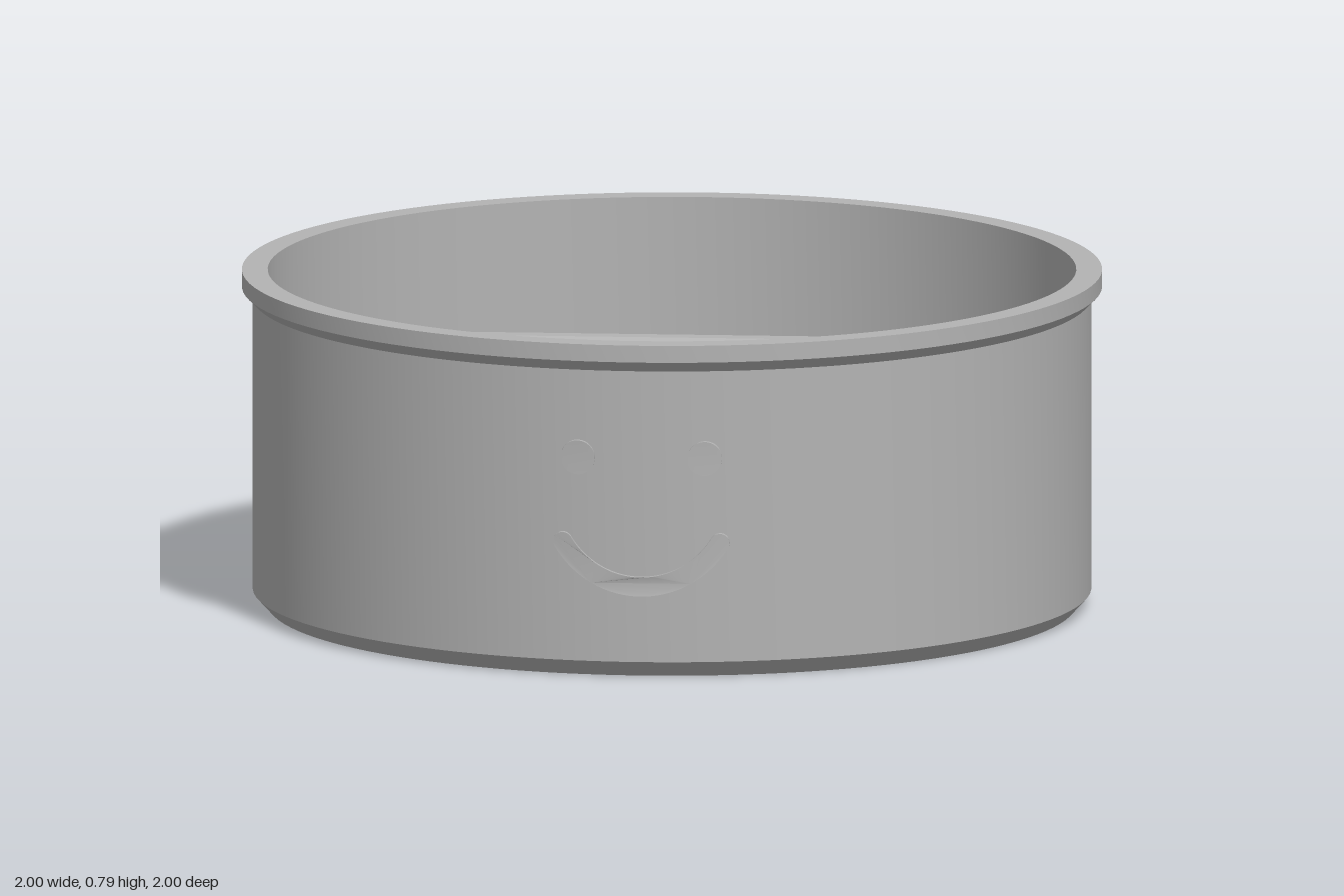
import * as THREE from 'three';
import { toCreasedNormals } from 'three/addons/utils/BufferGeometryUtils.js';

const OUTER = 0.975; // wall radius
const INNER = 0.94;
const FLOOR = 0.07;

export function createModel() {
  const model = new THREE.Group();
  model.name = 'dividedBowl';
  const grey = new THREE.MeshStandardMaterial({ color: 0xb3b3b3 });
  grey.name = 'plain grey';

  const add = (name, geometry) => {
    const mesh = new THREE.Mesh(toCreasedNormals(geometry, 0.4), grey);
    mesh.name = name;
    model.add(mesh);
    return mesh;
  };

  // Bowl: chamfered base, straight wall, flared rim, chamfered inner floor
  const profile = [
    [0, 0], [0.94, 0], [OUTER, 0.038], [OUTER, 0.725], [1, 0.75], [1, 0.79],
    [INNER, 0.79], [INNER, 0.124], [0.887, FLOOR], [0, FLOOR],
  ].map(([r, y]) => new THREE.Vector2(r, y));
  add('bowl', new THREE.LatheGeometry(profile, 120));

  // Divider: upright wall across the bowl with a chamfered top edge
  const section = new THREE.Shape([
    [-0.035, FLOOR], [0.035, FLOOR], [0.035, 0.615], [0.02, 0.632], [-0.02, 0.632], [-0.035, 0.615],
  ].map(([z, y]) => new THREE.Vector2(z, y)));
  const length = 2 * 0.938;
  const divider = new THREE.ExtrudeGeometry(section, { depth: length, bevelEnabled: false });
  divider.translate(0, 0, -length / 2).rotateY(Math.PI / 2);
  add('divider', divider);

  // Raised face parts: extruded shapes wrapped onto the curved wall
  const wrapOnWall = (shape) => {
    const geometry = new THREE.ExtrudeGeometry(shape, { depth: 0.027, bevelEnabled: false, curveSegments: 32 });
    const p = geometry.attributes.position;
    for (let i = 0; i < p.count; i++) {
      const r = 0.96 + p.getZ(i);
      p.setZ(i, Math.sqrt(r * r - p.getX(i) ** 2));
    }
    geometry.computeVertexNormals();
    return geometry;
  };

  for (const [name, side] of [['leftEye', 1], ['rightEye', -1]]) {
    add(name, wrapOnWall(new THREE.Shape().absarc(side * 0.148, 0.52, 0.04, 0, Math.PI * 2)));
  }

  // Smile: circular band with round ends
  const R = 0.2146, half = 0.0225, cy = 0.432, sweep = 1.02;
  const a0 = -Math.PI / 2 - sweep, a1 = -Math.PI / 2 + sweep;
  const smile = new THREE.Shape();
  smile.absarc(0, cy, R + half, a0, a1, false);
  smile.absarc(R * Math.cos(a1), cy + R * Math.sin(a1), half, a1, a1 + Math.PI, false);
  smile.absarc(0, cy, R - half, a1, a0, true);
  smile.absarc(R * Math.cos(a0), cy + R * Math.sin(a0), half, a0 + Math.PI, a0 + 2 * Math.PI, false);
  add('smile', wrapOnWall(smile));

  return model;
}
